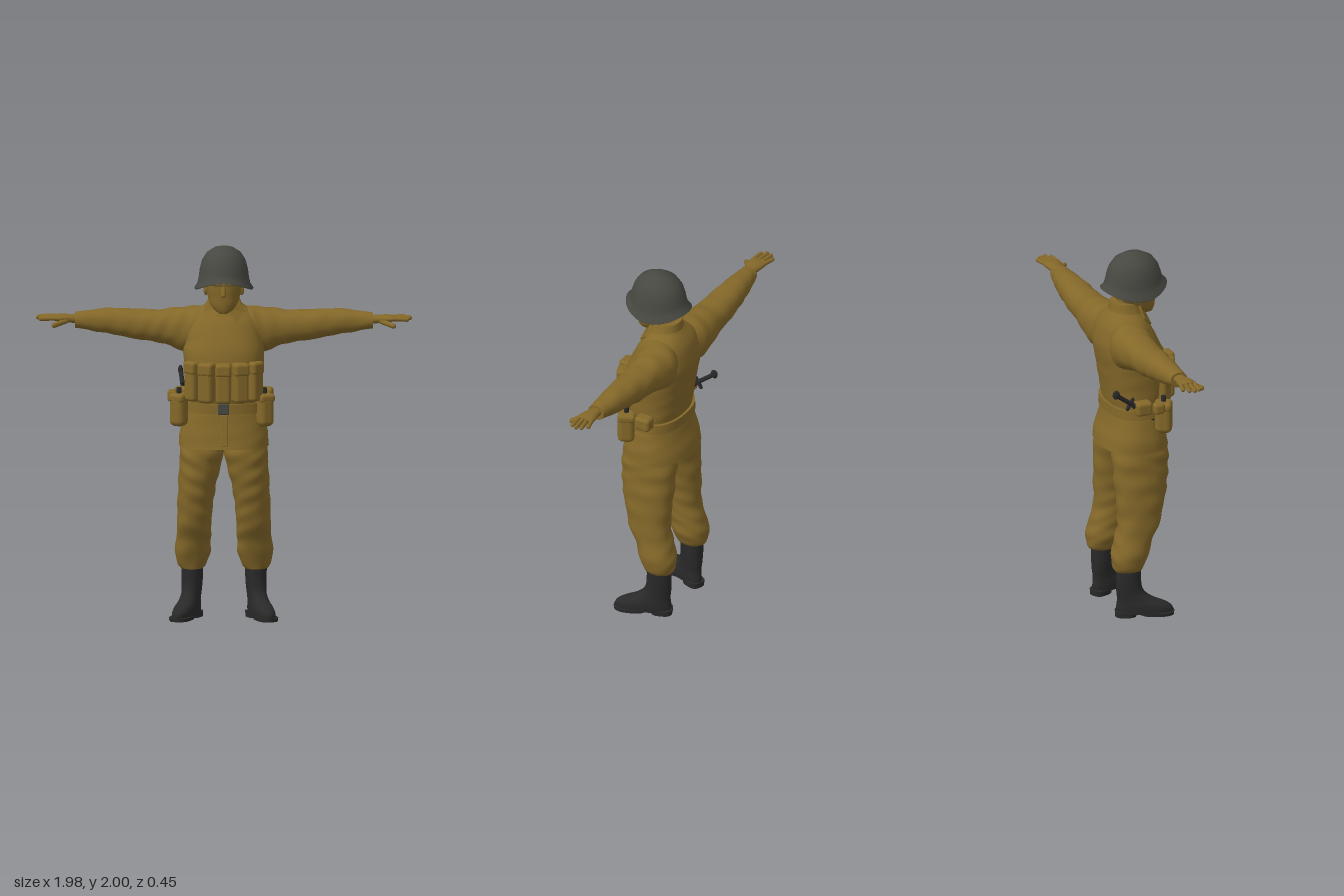
import * as THREE from 'three';
import { mergeVertices } from 'three/addons/utils/BufferGeometryUtils.js';
import { RoundedBoxGeometry } from 'three/addons/geometries/RoundedBoxGeometry.js';

const mat = (name, color, side = THREE.FrontSide) => {
  const m = new THREE.MeshStandardMaterial({ color, side });
  m.name = name;
  return m;
};

// Smooth skin through rows of [t, a, b, ra, rb]; t runs along y (a = x, b = z) or along x (a = y, b = z)
function loft(rows, { axis = 'y', seg = 32, steps = 5, power = 2.2, fold = 0 } = {}) {
  const at = i => rows[Math.min(Math.max(i, 0), rows.length - 1)];
  const cr = (p, q, r, s, t) => 0.5 * (2 * q + (r - p) * t + (2 * p - 5 * q + 4 * r - s) * t * t + (3 * q - p - 3 * r + s) * t ** 3);
  const rings = [];
  for (let i = 0; i < rows.length - 1; i++)
    for (let k = 0; k < steps; k++)
      rings.push(at(i).map((_, c) => cr(at(i - 1)[c], at(i)[c], at(i + 1)[c], at(i + 2)[c], k / steps)));
  rings.push(at(rows.length));
  const first = rings[0], last = rings[rings.length - 1];
  const closed = r => [r[0], r[1], r[2], 0, 0];
  const all = [closed(first), first, ...rings, last, closed(last)];
  const pos = [], idx = [];
  const pw = v => Math.sign(v) * Math.abs(v) ** (2 / power);
  all.forEach(([t, a, b, ra, rb], i) => {
    for (let j = 0; j < seg; j++) {
      const th = j / seg * Math.PI * 2;
      const f = 1 + fold * Math.sin(t * 55 + 2.5 * Math.sin(th + t * 6)) * Math.cos(th * 2 + t * 9);
      const u = ra * f * pw(Math.cos(th)), v = rb * f * pw(Math.sin(th));
      if (axis === 'y') pos.push(a + u, t, b + v);
      else pos.push(t, a + u, b - v);
      if (i < all.length - 1) {
        const p = i * seg + j, q = i * seg + (j + 1) % seg;
        idx.push(p, p + seg, q, q, p + seg, q + seg);
      }
    }
  });
  const g = new THREE.BufferGeometry();
  g.setAttribute('position', new THREE.Float32BufferAttribute(pos, 3));
  g.setIndex(idx);
  g.computeVertexNormals();
  return g;
}

// Rounded rod between two points
function rod(a, b, r) {
  const p = new THREE.Vector3(...a), q = new THREE.Vector3(...b), d = q.clone().sub(p);
  const g = new THREE.CapsuleGeometry(r, d.length(), 5, 12);
  g.applyQuaternion(new THREE.Quaternion().setFromUnitVectors(new THREE.Vector3(0, 1, 0), d.normalize()));
  return g.translate(...p.add(q).multiplyScalar(0.5).toArray());
}

// Copy reflected across x = 0, with the corner order turned back
function mirror(src) {
  const g = src.clone();
  g.scale(-1, 1, 1);
  const n = g.index ? g.index.count : g.attributes.position.count;
  const ix = Array.from({ length: n }, (_, i) => (g.index ? g.index.getX(i) : i));
  for (let i = 0; i < n; i += 3) [ix[i + 1], ix[i + 2]] = [ix[i + 2], ix[i + 1]];
  g.setIndex(ix);
  g.computeVertexNormals();
  return g;
}

const ball = (rx, ry, rz, x, y, z) => new THREE.SphereGeometry(1, 24, 16).scale(rx, ry, rz).translate(x, y, z);
const pad = (w, h, d, x, y, z, turn = 0, r = 0.016) =>
  new RoundedBoxGeometry(w, h, d, 3, r).rotateY(turn).translate(x, y, z);

export function createModel() {
  const model = new THREE.Group();
  const khaki = mat('khaki cloth', 0x846829);
  const steel = mat('helmet grey', 0x484842, THREE.DoubleSide);
  const black = mat('black leather', 0x29292a);
  const add = (name, g, m = khaki) => {
    const mesh = new THREE.Mesh(g, m);
    mesh.name = name;
    model.add(mesh);
  };
  const pair = (name, g, m = khaki) => {
    add(name + 'Left', g, m);
    add(name + 'Right', mirror(g), m);
  };

  // Jacket
  add('jacket', loft([
    [0.935, 0, -0.025, 0.237, 0.182], [1.0, 0, -0.025, 0.232, 0.168], [1.09, 0, -0.02, 0.214, 0.147],
    [1.15, 0, -0.02, 0.2, 0.138], [1.21, 0, -0.017, 0.201, 0.148], [1.31, 0, -0.017, 0.205, 0.165],
    [1.42, 0, -0.028, 0.213, 0.172], [1.5, 0, -0.048, 0.205, 0.164], [1.59, 0, -0.063, 0.188, 0.135],
    [1.64, 0, -0.07, 0.155, 0.108], [1.68, 0, -0.065, 0.1, 0.085], [1.7, 0, -0.06, 0.08, 0.075],
  ], { seg: 48, power: 2.35, fold: 0.008 }));
  add('jacketFrontSeam', new RoundedBoxGeometry(0.036, 0.17, 0.01, 2, 0.004).rotateX(-0.19).translate(0.005, 1.035, 0.142));
  pair('sleeve', loft([
    [0.07, 1.56, -0.075, 0.1, 0.1], [0.15, 1.54, -0.088, 0.125, 0.117], [0.21, 1.54, -0.097, 0.118, 0.11],
    [0.28, 1.55, -0.1, 0.1, 0.1], [0.36, 1.557, -0.102, 0.085, 0.092], [0.47, 1.566, -0.104, 0.079, 0.085],
    [0.58, 1.58, -0.105, 0.07, 0.074], [0.68, 1.585, -0.1, 0.058, 0.062], [0.75, 1.588, -0.094, 0.046, 0.052],
    [0.785, 1.589, -0.09, 0.041, 0.047],
  ], { axis: 'x', fold: 0.03 }));

  // Collar with two pointed flaps
  add('collar', loft([
    [1.65, 0, -0.06, 0.115, 0.092], [1.69, 0, -0.056, 0.092, 0.087], [1.735, 0, -0.055, 0.076, 0.08],
  ]));
  const flap = new THREE.Shape([[0.004, 1.675], [0.07, 1.6], [0.108, 1.65], [0.078, 1.725], [0.05, 1.735]]
    .map(p => new THREE.Vector2(...p)));
  const flapGeo = new THREE.ExtrudeGeometry(flap, { depth: 0.016, bevelEnabled: false });
  const fp = flapGeo.attributes.position;
  for (let i = 0; i < fp.count; i++)
    fp.setZ(i, fp.getZ(i) + 0.072 - (fp.getY(i) - 1.6) * 0.5 - 4 * fp.getX(i) ** 2);
  flapGeo.computeVertexNormals();
  pair('collarFlap', flapGeo);

  // Hands
  pair('palm', loft([
    [0.76, 1.593, -0.09, 0.025, 0.032], [0.81, 1.597, -0.088, 0.022, 0.035],
    [0.86, 1.6, -0.085, 0.021, 0.047], [0.9, 1.602, -0.086, 0.014, 0.047],
  ], { axis: 'x', seg: 20 }));
  [[0.945, -0.138], [0.972, -0.112], [0.98, -0.084], [0.965, -0.054]].forEach(([tip, z], i) =>
    pair('finger' + (i + 1), rod([0.88, 1.603, -0.122 + i * 0.024], [tip, 1.603 - (i === 3 ? 0.004 : 0), z], 0.0115)));
  pair('thumb', rod([0.83, 1.588, -0.06], [0.895, 1.572, -0.008], 0.0135));

  // Head
  add('neck', loft([[1.62, 0, -0.045, 0.065, 0.065], [1.7, 0, -0.035, 0.06, 0.065], [1.78, 0, -0.03, 0.065, 0.07]]));
  add('head', loft([
    [1.652, 0, 0.07, 0.022, 0.025], [1.67, 0, 0.05, 0.05, 0.052], [1.7, 0, 0.03, 0.073, 0.078],
    [1.74, 0, 0.01, 0.086, 0.1], [1.79, 0, 0, 0.097, 0.113], [1.85, 0, -0.01, 0.1, 0.118], [1.92, 0, -0.015, 0.075, 0.09],
  ]));
  add('nose', rod([0, 1.795, 0.106], [0, 1.755, 0.118], 0.013));
  add('brow', ball(0.075, 0.014, 0.03, 0, 1.81, 0.088));
  pair('ear', ball(0.012, 0.03, 0.02, 0.095, 1.765, -0.015));
  add('hair', ball(0.098, 0.06, 0.085, 0, 1.81, -0.042), black);

  // Helmet: turned bowl whose flared rim rises at front and back
  const profile = [[0.115, 1.86], [0.13, 1.812], [0.152, 1.786], [0.156, 1.791], [0.14, 1.812], [0.132, 1.845],
    [0.127, 1.88], [0.115, 1.925], [0.09, 1.965], [0.05, 1.991], [0.02, 1.998], [0, 2.0]];
  let bowl = new THREE.LatheGeometry(profile.map(p => new THREE.Vector2(...p)), 48);
  const hp = bowl.attributes.position;
  for (let i = 0; i < hp.count; i++) {
    const x = hp.getX(i), y = hp.getY(i), z = hp.getZ(i), n = z / (Math.hypot(x, z) || 1);
    const w = Math.max(0, (1.89 - y) / 0.1);
    hp.setXYZ(i, x, y + w * (-0.015 + (n > 0 ? 0.052 : 0.038) * n * n), z * 1.16 - 0.006);
  }
  bowl.deleteAttribute('normal');
  bowl.deleteAttribute('uv');
  bowl = mergeVertices(bowl, 1e-5);
  bowl.computeVertexNormals();
  add('helmet', bowl, steel);

  // Trousers
  pair('trouserLeg', loft([
    [0.265, 0.168, -0.11, 0.06, 0.074], [0.29, 0.168, -0.112, 0.078, 0.084], [0.35, 0.166, -0.1, 0.094, 0.098],
    [0.42, 0.16, -0.082, 0.091, 0.101], [0.5, 0.157, -0.05, 0.091, 0.112], [0.6, 0.152, -0.036, 0.093, 0.125],
    [0.72, 0.141, -0.026, 0.1, 0.142], [0.82, 0.126, -0.022, 0.109, 0.15], [0.9, 0.115, -0.02, 0.116, 0.153],
    [0.98, 0.11, -0.02, 0.11, 0.14],
  ], { fold: 0.03, steps: 7 }));

  // Boots, toes turned outward
  const place = g => g.rotateY(0.36).translate(0.168, 0, -0.108);
  pair('boot', place(loft([
    [0.02, 0, 0.085, 0.053, 0.15], [0.05, 0, 0.082, 0.054, 0.148], [0.075, 0, 0.065, 0.052, 0.128],
    [0.1, 0, 0.035, 0.048, 0.096], [0.14, 0, 0.008, 0.048, 0.073], [0.2, 0, 0, 0.053, 0.066], [0.3, 0, 0, 0.056, 0.066],
  ])), black);
  pair('sole', place(loft([[0.008, 0, 0.15, 0.056, 0.09], [0.026, 0, 0.15, 0.058, 0.092]], { steps: 1, power: 2.5 })), black);
  pair('heel', place(loft([[0, 0, -0.015, 0.046, 0.056], [0.03, 0, -0.015, 0.047, 0.058]], { steps: 1, power: 2.8 })), black);

  // Belt and buckle
  add('belt', loft([[1.122, 0, -0.02, 0.216, 0.153], [1.175, 0, -0.02, 0.212, 0.153]], { steps: 1, seg: 48, power: 2.35 }));
  add('buckle', pad(0.06, 0.058, 0.02, 0, 1.15, 0.134, 0, 0.006), steel);

  // Row of chest pouches wrapped round the front
  [[-0.158, 0.088, -0.85], [-0.087, 0.147, -0.38], [0, 0.174, 0], [0.087, 0.147, 0.38], [0.158, 0.088, 0.85]]
    .forEach(([x, z, turn], i) => {
      add('pouch' + (i + 1), pad(0.08, 0.205, 0.082, x, 1.29, z, turn, 0.02));
      add('pouchLid' + (i + 1), pad(0.085, 0.07, 0.09, x, 1.365, z, turn, 0.018));
    });

  // Canteens and small hip pouches
  [[1, 0.215], [-1, 0.235]].forEach(([s, x]) => {
    const side = s > 0 ? 'Left' : 'Right';
    add('canteen' + side, pad(0.085, 0.165, 0.09, s * x, 1.132, 0.065, s * 0.5, 0.03));
    add('canteenFlap' + side, pad(0.09, 0.05, 0.095, s * x, 1.2, 0.062, s * 0.5, 0.02));
    add('canteenCap' + side, new THREE.CylinderGeometry(0.013, 0.013, 0.045, 14).translate(s * x, 1.232, 0.065), black);
    add('hipPouch' + side, pad(0.07, 0.075, 0.09, s * 0.225, 1.2, -0.05, 0, 0.018));
  });
  add('sidePouch', pad(0.05, 0.06, 0.06, -0.272, 1.205, 0.02, 0, 0.016));

  // Sheathed knife leaning back over the right hip
  add('knifeSheath', rod([-0.19, 1.1, 0.03], [-0.215, 1.22, -0.1], 0.014), black);
  add('knifeHandle', rod([-0.215, 1.22, -0.1], [-0.23, 1.3, -0.205], 0.012), black);
  add('knifePommel', ball(0.013, 0.025, 0.02, -0.231, 1.303, -0.207), black);
  add('knifeGuard', rod([-0.216, 1.255, -0.105], [-0.216, 1.205, -0.135], 0.01), black);
  return model;
}
